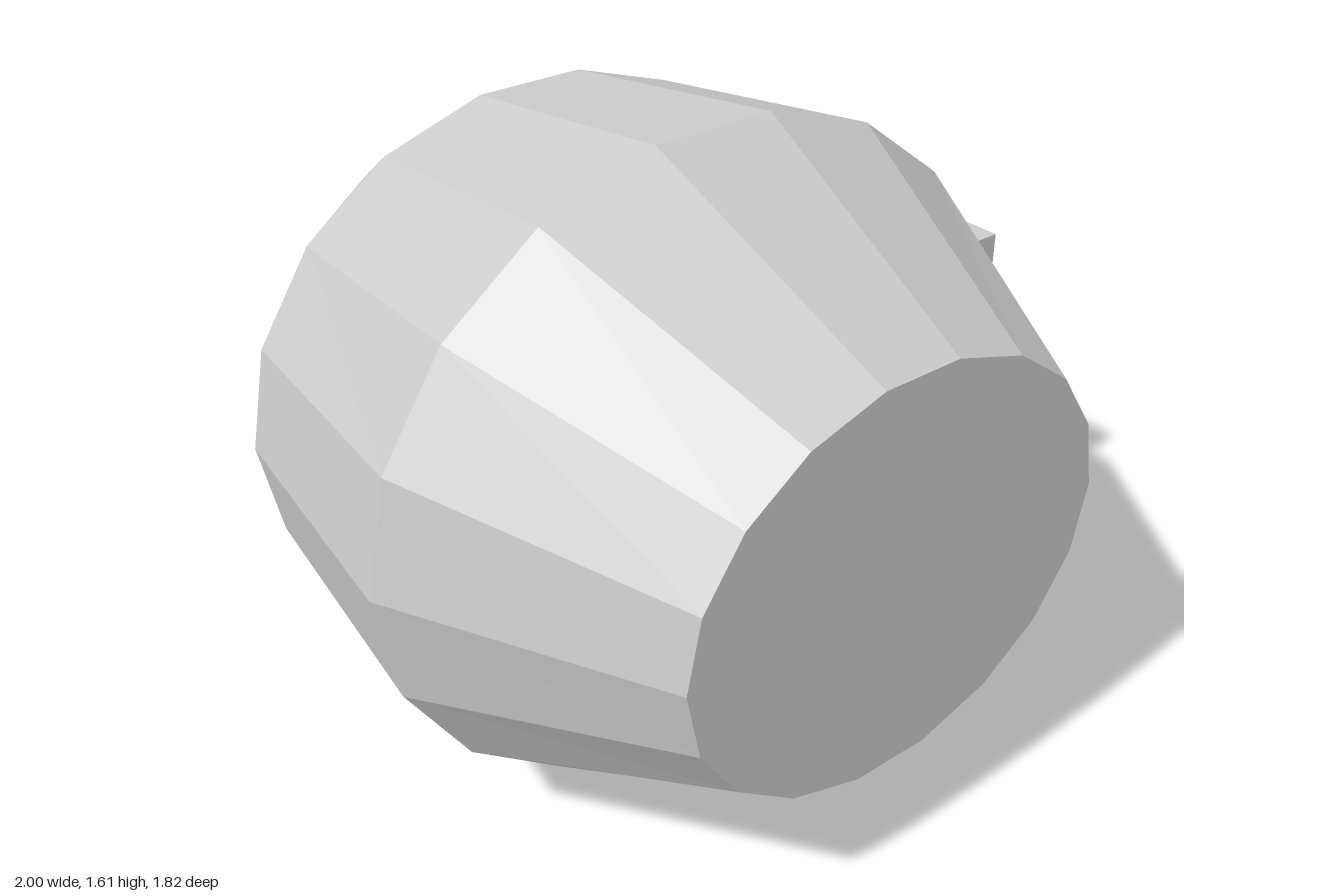
import * as THREE from 'three';

const material = new THREE.MeshStandardMaterial({ color: 0xcccccc, flatShading: true });

// Barrel rings from front to back: z, half width, half height
const RINGS = [
  [0.91, 0.59, 0.5],
  [0.275, 0.907, 0.818],
  [-0.408, 0.818, 0.726],
  [-0.91, 0.41, 0.409],
];

// Capped 18-sided barrel along z, each ring stretched to its own ellipse
function barrelGeometry() {
  const geometry = new THREE.CylinderGeometry(1, 1, 3, 18, 3, false, Math.PI / 2);
  geometry.rotateX(Math.PI / 2);
  const pos = geometry.attributes.position;
  for (let i = 0; i < pos.count; i++) {
    const [z, rx, ry] = RINGS[Math.round(1.5 - pos.getZ(i))];
    pos.setXYZ(i, pos.getX(i) * rx, pos.getY(i) * ry, z);
  }
  geometry.computeVertexNormals();
  return geometry;
}

export function createModel() {
  const group = new THREE.Group();
  group.name = 'barrelWithSideBlock';

  const barrel = new THREE.Mesh(barrelGeometry(), material);
  barrel.name = 'barrel';
  barrel.position.set(-0.093, 0.806, 0);
  group.add(barrel);

  // Block on the left side, sunk into the barrel wall
  const block = new THREE.Mesh(new THREE.BoxGeometry(0.4, 0.406, 0.315), material);
  block.name = 'sideBlock';
  block.position.set(0.8, 0.806, 0);
  group.add(block);

  return group;
}
